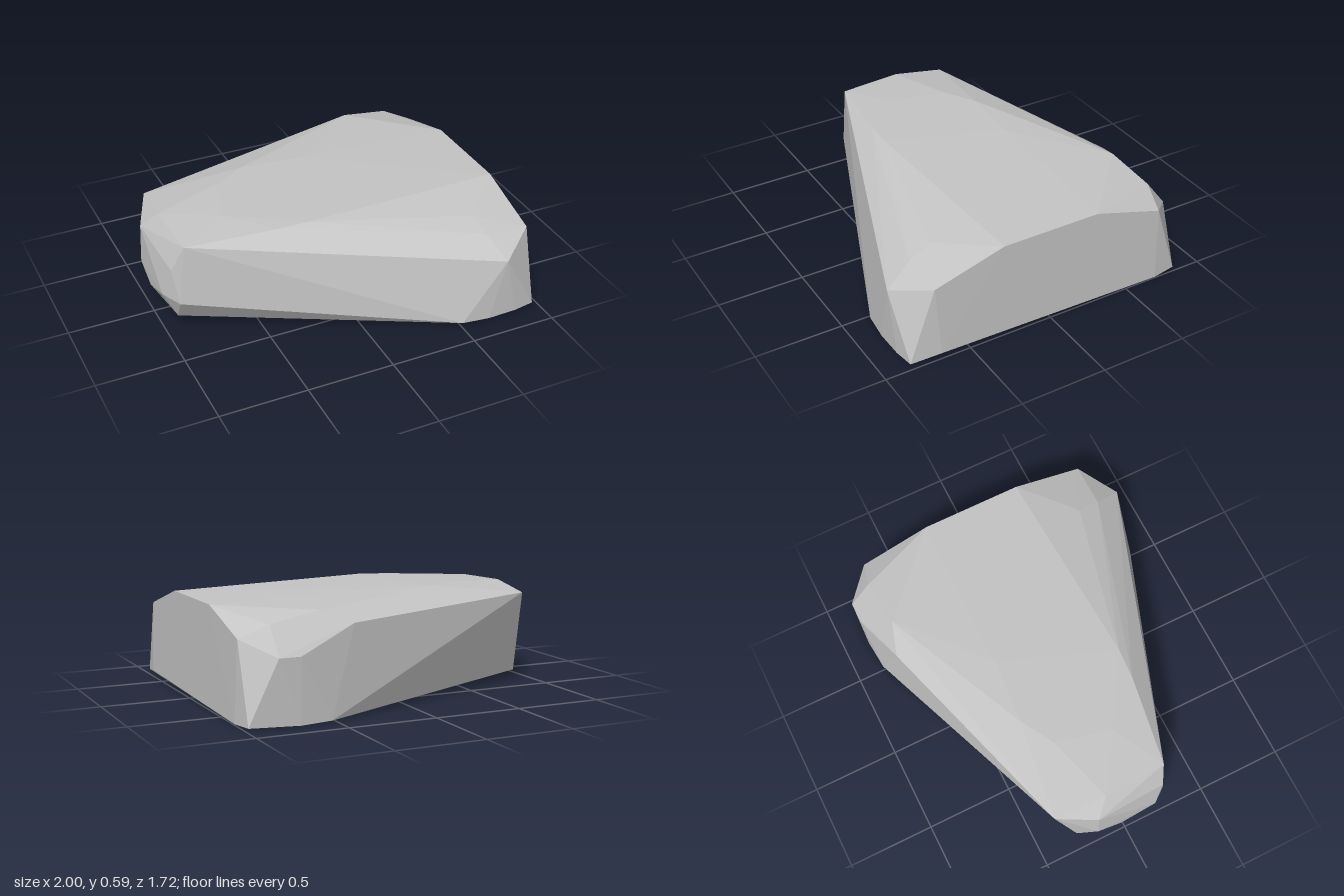
import * as THREE from 'three';
import { ConvexGeometry } from 'three/addons/geometries/ConvexGeometry.js';

// Corners of the faceted boulder, grouped by the side they belong to
const corners = {
  broadEnd: [
    [0.97, 0.01, 0.84], [1, 0.035, 0.67], [0.98, 0.44, 0.7], [0.98, 0.56, 0.29],
    [0.98, 0.56, -0.29], [0.98, 0.44, -0.7], [0.98, 0.01, -0.84], [1, 0.005, -0.7],
  ],
  narrowEnd: [
    [-0.89, 0.555, 0.265], [-0.91, 0.565, -0.1], [-0.89, 0.525, -0.4],
    [-0.96, 0.41, 0.235], [-0.99, 0.46, -0.18], [-1, 0.23, 0.18], [-1, 0.16, -0.03],
    [-1, 0.23, -0.18], [-0.93, 0.2, 0.27], [-0.92, 0.065, 0.185],
    [-0.94, 0.07, -0.07], [-0.92, 0.045, -0.27],
  ],
  front: [
    [0.77, 0.36, 0.86], [0.52, 0.005, 0.84], [0.68, 0, 0.855], [0.85, 0.005, 0.855],
    [0.72, 0.46, 0.7], [0.7, 0.51, 0.565],
  ],
  back: [
    [0.7, 0.355, -0.86], [0.82, 0.355, -0.86], [0.36, 0.49, -0.77],
    [0.53, 0.56, -0.71], [0.82, 0.51, -0.74], [0.52, 0.005, -0.84], [0.7, 0, -0.855],
  ],
  top: [
    [-0.38, 0.58, 0.34], [-0.2, 0.585, 0.35], [-0.6, 0.585, 0.1],
    [-0.52, 0.588, -0.22], [-0.33, 0.59, -0.33], [0.05, 0.59, -0.3],
  ],
};

export function createModel() {
  const stone = new THREE.MeshStandardMaterial({ color: 0xc5c5c5, flatShading: true });
  stone.name = 'stone grey';

  // One solid, wrapped tightly around all corners
  const points = Object.values(corners).flat().map((p) => new THREE.Vector3(...p));
  const boulder = new THREE.Mesh(new ConvexGeometry(points), stone);
  boulder.name = 'boulder';

  const model = new THREE.Group();
  model.name = 'rock';
  model.add(boulder);
  return model;
}
